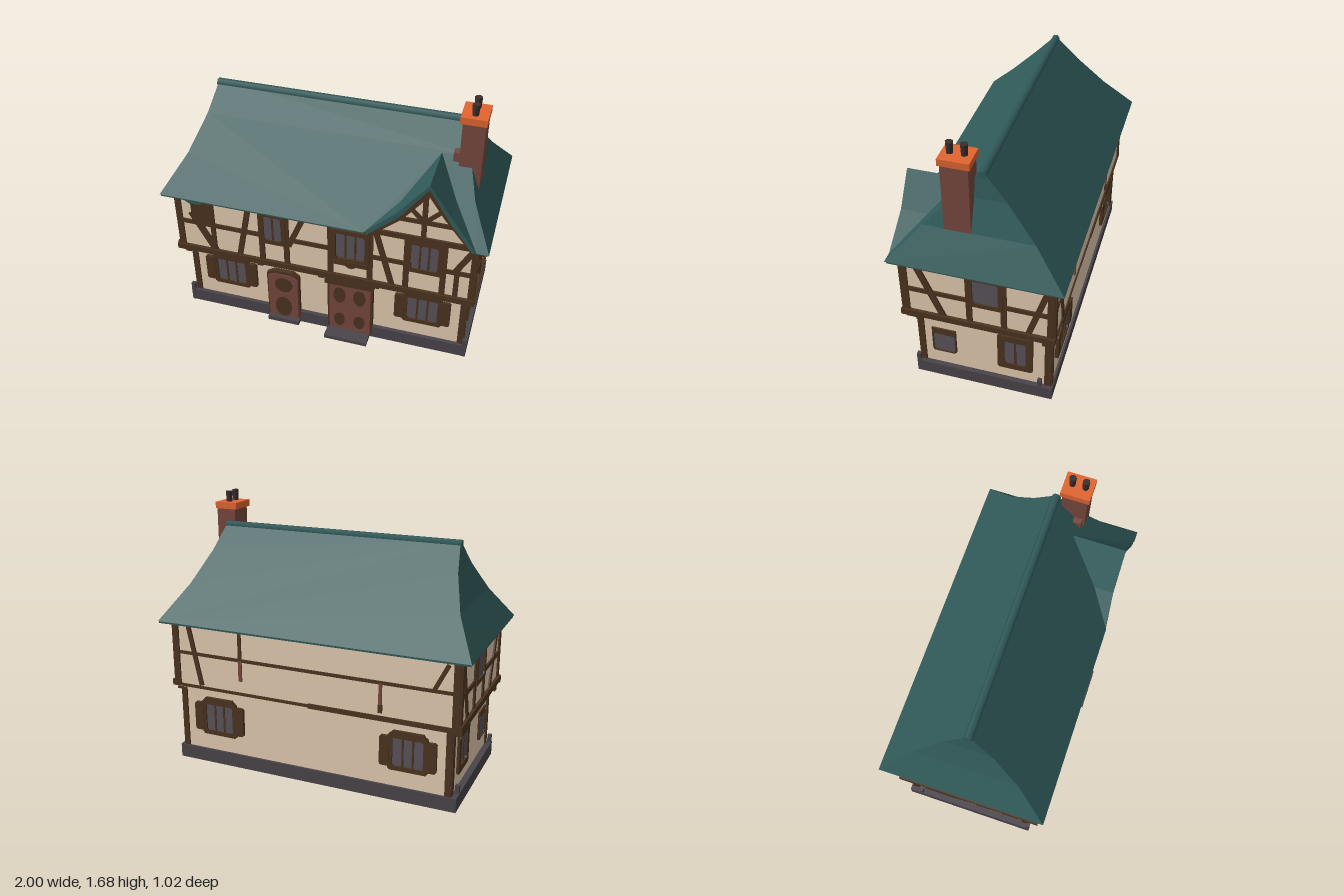
import * as THREE from 'three';

const mat = (name, color, extra = {}) => Object.assign(new THREE.MeshStandardMaterial({ color, ...extra }), { name });

export function createModel() {
  const M = {
    plaster: mat('plaster', 0xe4ccb0),
    timber: mat('timber', 0x4c3420),
    roof: mat('roofTeal', 0x305a59, { side: THREE.DoubleSide }),
    stone: mat('plinthStone', 0x49444a),
    glass: mat('windowGlass', 0x5a545b),
    door: mat('doorRed', 0x78483e),
    cap: mat('chimneyCap', 0xe0652f),
    pot: mat('chimneyPot', 0x3a2f2d),
  };
  const model = new THREE.Group();
  model.name = 'timberHouse';

  const add = (parent, name, geo, material) => {
    const m = new THREE.Mesh(geo, material);
    m.name = name;
    parent.add(m);
    return m;
  };
  // Box given by its limits on each axis
  const box = (parent, name, material, x0, x1, y0, y1, z0, z1) => {
    const m = add(parent, name, new THREE.BoxGeometry(x1 - x0, y1 - y0, z1 - z0), material);
    m.position.set((x0 + x1) / 2, (y0 + y1) / 2, (z0 + z1) / 2);
    return m;
  };
  const shapeOf = (pts) => new THREE.Shape(pts.map((p) => new THREE.Vector2(...p)));
  const slab = (parent, name, material, pts, z0, z1, hole) => {
    const s = shapeOf(pts);
    if (hole) s.holes.push(shapeOf(hole));
    const g = new THREE.ExtrudeGeometry(s, { depth: z1 - z0, bevelEnabled: false });
    return add(parent, name, g.translate(0, 0, z0), material);
  };
  // Timber lying on a wall between two points
  const beam = (parent, u0, y0, u1, y1, w = 0.04, d = 0.01, material = M.timber) => {
    const len = Math.hypot(u1 - u0, y1 - y0);
    const m = add(parent, 'timber', new THREE.BoxGeometry(len, w, d + 0.01), material);
    m.position.set((u0 + u1) / 2, (y0 + y1) / 2, (d - 0.01) / 2);
    m.rotation.z = Math.atan2(y1 - y0, u1 - u0);
  };
  const beams = (parent, list) => list.forEach((b) => beam(parent, ...b));
  // Group whose local z points out of a wall
  const face = (name, x, z, turn) => {
    const g = new THREE.Group();
    g.name = name;
    g.position.set(x, 0, z);
    g.rotation.y = turn;
    model.add(g);
    return g;
  };
  const cut = (u0, u1, y0, y1, c) => [[u0 + c, y0], [u1 - c, y0], [u1, y0 + c], [u1, y1 - c],
    [u1 - c, y1], [u0 + c, y1], [u0, y1 - c], [u0, y0 + c]];
  const windowAt = (parent, u, y, w, h, { rim = 0.028, shutters = false, head = shutters, bars = 1, depth = 0.016 } = {}) => {
    const g = new THREE.Group();
    g.name = 'window';
    g.position.set(u, y, 0);
    parent.add(g);
    const a = w / 2, b = h / 2;
    slab(g, 'windowFrame', M.timber, cut(-a - rim, a + rim, -b - rim, b + rim, 0.012), -0.01, depth,
      cut(-a, a, -b, b, 0.01));
    box(g, 'windowPane', M.glass, -a, a, -b, b, -0.002, 0.007);
    for (let i = 1; i <= bars; i++) {
      const x = -a + (w * i) / (bars + 1);
      box(g, 'windowBar', M.timber, x - 0.006, x + 0.006, -b, b, 0, 0.011);
    }
    if (shutters) {
      for (const s of [-1, 1]) {
        const x0 = s * (a + rim - 0.01), x1 = s * (a + rim + 0.052);
        slab(g, 'shutter', M.timber, cut(Math.min(x0, x1), Math.max(x0, x1), -b - 0.005, b + 0.005, 0.01), -0.01, 0.02);
      }
    }
    if (head) slab(g, 'windowHead', M.timber, [[-a - rim, b], [a + rim, b], [a, b + 0.045], [-a, b + 0.045]], -0.01, 0.02);
  };

  // Storeys and plinth
  box(model, 'plinth', M.stone, -0.93, 0.93, 0, 0.088, -0.44, 0.41);
  box(model, 'lowerWalls', M.plaster, -0.89, 0.9, 0.08, 0.53, -0.425, 0.385);
  box(model, 'upperWalls', M.plaster, -0.93, 0.935, 0.5, 0.935, -0.445, 0.45);
  box(model, 'doorStep', M.stone, 0.03, 0.31, 0, 0.025, 0.38, 0.505);
  box(model, 'smallStep', M.stone, -0.37, -0.16, 0, 0.03, 0.38, 0.45);
  for (const x of [-0.915, 0.915]) for (const z of [0.4, -0.36])
    box(model, 'cornerGuard', M.stone, x - 0.012, x + 0.012, 0, 0.14, z - 0.012, z + 0.012);

  // Upper front timbers
  const upF = face('upperFront', 0, 0.45, 0);
  beams(upF, [
    [-0.95, 0.515, 0.95, 0.515, 0.04, 0.02], [-0.94, 0.92, 0.94, 0.92, 0.03],
    [-0.93, 0.725, -0.36, 0.725, 0.03], [-0.22, 0.725, 0.08, 0.725, 0.03], [0.29, 0.72, 0.56, 0.72, 0.03], [0.72, 0.72, 0.94, 0.72, 0.03],
    [-0.915, 0.51, -0.915, 0.93], [0.925, 0.51, 0.925, 0.93], [-0.76, 0.72, -0.76, 0.93, 0.14],
    [-0.83, 0.8, -0.69, 0.53, 0.045], [-0.695, 0.51, -0.695, 0.93, 0.03], [-0.45, 0.92, -0.53, 0.52, 0.035],
    [-0.375, 0.51, -0.375, 0.93, 0.035], [-0.215, 0.51, -0.215, 0.93, 0.035], [-0.1, 0.92, -0.2, 0.68, 0.035],
    [0.065, 0.51, 0.065, 0.93, 0.035], [0.31, 0.51, 0.31, 0.93, 0.035], [0.34, 0.92, 0.45, 0.52, 0.035],
    [0.53, 0.51, 0.53, 0.93, 0.035], [0.75, 0.51, 0.75, 0.93, 0.035], [0.83, 0.51, 0.83, 0.72, 0.03], [0.91, 0.9, 0.82, 0.73, 0.035],
    [0.08, 0.645, 0.3, 0.645, 0.03, 0.03], [0.13, 0.64, 0.19, 0.6, 0.02], [0.25, 0.64, 0.19, 0.6, 0.02],
  ]);
  // Torn piece of roof hanging below the eaves
  slab(upF, 'roofScrap', M.roof, [[-0.92, 0.93], [-0.83, 0.875], [-0.76, 0.88], [-0.73, 0.93]], 0.005, 0.018);
  windowAt(upF, -0.3, 0.79, 0.11, 0.18);
  windowAt(upF, 0.19, 0.77, 0.18, 0.19, { bars: 2, depth: 0.025 });
  windowAt(upF, 0.635, 0.79, 0.16, 0.18, { bars: 2 });

  // Lower front: posts, windows and doors
  const loF = face('lowerFront', 0, 0.385, 0);
  beams(loF, [[-0.875, 0.09, -0.875, 0.5, 0.035], [0.885, 0.09, 0.885, 0.5, 0.035]]);
  for (const u of [-0.625, 0.635]) windowAt(loF, u, 0.315, 0.19, 0.18, { shutters: true, bars: 2 });
  const oval = (x, y, rx, ry) => {
    const m = add(loF, 'doorPanel', new THREE.CylinderGeometry(1, 1, 0.006, 14).rotateX(Math.PI / 2), M.timber);
    m.scale.set(rx, ry, 1);
    m.position.set(x, y, 0.034);
  };
  slab(loF, 'smallDoorFrame', M.timber, [[-0.375, 0.02], [-0.16, 0.02], [-0.16, 0.38], [-0.2, 0.41], [-0.33, 0.41], [-0.375, 0.38]], -0.01, 0.028);
  slab(loF, 'smallDoor', M.door, [[-0.366, 0.02], [-0.169, 0.02], [-0.169, 0.365], [-0.21, 0.388], [-0.33, 0.388], [-0.366, 0.365]], 0, 0.034);
  oval(-0.262, 0.305, 0.06, 0.06);
  oval(-0.268, 0.115, 0.056, 0.085);
  box(loF, 'doorFrame', M.timber, 0.03, 0.325, 0.02, 0.46, -0.01, 0.028);
  box(loF, 'doorLintel', M.timber, 0.02, 0.335, 0.425, 0.47, 0, 0.06);
  box(loF, 'door', M.door, 0.044, 0.311, 0.02, 0.425, 0, 0.034);
  for (const x of [0.11, 0.24]) {
    oval(x, 0.32, 0.04, 0.065);
    oval(x, 0.11, 0.036, 0.055);
  }
  for (const x of [-0.89, -0.4, 0.0, 0.35, 0.91])
    box(model, 'jettyBracket', M.timber, x - 0.018, x + 0.018, 0.465, 0.5, 0.38, 0.45);

  // Both ends, mirrored
  for (const s of [1, -1]) {
    const up = face('upperEnd', s > 0 ? 0.935 : -0.93, 0, (s * Math.PI) / 2);
    const lo = face('lowerEnd', s > 0 ? 0.9 : -0.89, 0, (s * Math.PI) / 2);
    const line = (p, z0, y0, z1, y1, w, d) => beam(p, -s * z0, y0, -s * z1, y1, w, d);
    [
      [0.46, 0.525, -0.455, 0.525, 0.04, 0.02], [0.45, 0.92, -0.445, 0.92, 0.03],
      [0.45, 0.71, 0.04, 0.71, 0.03], [-0.15, 0.71, -0.44, 0.71, 0.03],
      [0.432, 0.51, 0.432, 0.93], [-0.427, 0.51, -0.427, 0.93], [0.36, 0.91, 0.21, 0.54, 0.04],
      [0.05, 0.53, 0.05, 0.93, 0.035], [-0.155, 0.53, -0.155, 0.93, 0.035], [-0.41, 0.9, -0.3, 0.55, 0.035],
    ].forEach((b) => line(up, ...b));
    windowAt(up, s * 0.05, 0.79, 0.15, 0.17, { bars: 0 });
    line(lo, 0.37, 0.09, 0.37, 0.52, 0.035);
    line(lo, -0.408, 0.09, -0.408, 0.52, 0.04);
    windowAt(lo, -s * 0.23, 0.275, 0.13, 0.14, { rim: 0.01, bars: 0, depth: 0.012 });
    line(lo, 0.305, 0.362, 0.155, 0.362, 0.045);
    windowAt(lo, s * 0.21, 0.315, 0.13, 0.19, { rim: 0.042, head: true });
    for (const z of [0.36, -0.4])
      box(model, 'endBracket', M.timber, s * 0.915 - 0.03, s * 0.915 + 0.03, 0.47, 0.51, z - 0.02, z + 0.02);
  }

  // Back: sparse thin timbers, some of them worn red
  const upB = face('upperBack', 0, -0.445, Math.PI);
  beams(upB, [
    [-0.95, 0.515, 0, 0.515, 0.018, 0.008], [0, 0.515, 0.95, 0.515, 0.03, 0.01],
    [-0.93, 0.735, 0.93, 0.735, 0.02, 0.008], [-0.94, 0.925, 0.94, 0.925, 0.02],
    [-0.915, 0.51, -0.915, 0.93], [0.91, 0.51, 0.91, 0.93], [-0.46, 0.73, -0.46, 0.93, 0.022, 0.008],
    [-0.46, 0.6, -0.46, 0.735, 0.022, 0.01, M.door], [0.46, 0.6, 0.46, 0.735, 0.02, 0.01, M.door],
    [0.46, 0.55, 0.46, 0.6, 0.025, 0.01], [-0.82, 0.91, -0.74, 0.53, 0.03], [0.86, 0.9, 0.78, 0.74, 0.025],
  ]);
  const loB = face('lowerBack', 0, -0.425, Math.PI);
  beams(loB, [[-0.885, 0.09, -0.885, 0.5, 0.035], [0.875, 0.09, 0.875, 0.5, 0.035]]);
  for (const u of [-0.63, 0.63]) windowAt(loB, u, 0.315, 0.19, 0.18, { shutters: true, bars: 2 });

  // Main roof: slopes follow z = slope(y); the front one is notched for the gable
  const slope = (y) => (0.51 * (1.5 - y)) / 0.56;
  const gable = [[0.28, 0.94], [0.46, 1.1], [0.64, 1.33], [0.77, 1.14], [0.93, 0.94]];
  const hip = [[1, 0.94], [0.873, 1.15], [0.802, 1.34], [0.77, 1.5]];
  const leftHip = hip.map(([x, y]) => [-x, y]).reverse();
  const roofSide = (name, pts, sign) => {
    const g = new THREE.ShapeGeometry(shapeOf(pts));
    const p = g.attributes.position;
    for (let i = 0; i < p.count; i++) p.setZ(i, sign * slope(p.getY(i)));
    g.computeVertexNormals();
    add(model, name, g, M.roof);
  };
  roofSide('frontSlope', [...gable, ...hip, ...leftHip], 1);
  roofSide('backSlope', [...hip, ...leftHip], -1);
  // Strip of flat quads between two rows of points
  const strip = (name, a, b) => {
    const v = [];
    for (let i = 0; i + 1 < a.length; i++) v.push(...a[i], ...b[i], ...b[i + 1], ...a[i], ...b[i + 1], ...a[i + 1]);
    const g = new THREE.BufferGeometry();
    g.setAttribute('position', new THREE.Float32BufferAttribute(v, 3));
    g.computeVertexNormals();
    add(model, name, g, M.roof);
  };
  for (const s of [1, -1])
    strip('hipEnd', hip.map(([x, y]) => [s * x, y, s * slope(y)]), hip.map(([x, y]) => [s * x, y, -s * slope(y)]));
  const verge = gable.map(([x, y]) => [x, y, y < 1 ? 0.505 : 0.485]);
  strip('gableRoof', verge, gable.map(([x, y]) => [x, y, slope(y)]));
  strip('gableVerge', gable.map(([x, y], i) => [x + 0.012 * (2 - i), y - (y < 1 ? 0.01 : 0.03), verge[i][2]]), verge);
  const eaves = slab(model, 'eaves', M.roof, [[-0.995, -0.505], [0.28, -0.505], [0.34, -0.455], [0.9, -0.455], [0.93, -0.5],
    [0.995, -0.5], [0.995, 0.505], [-0.995, 0.505]], 0, 0.015);
  eaves.rotation.x = -Math.PI / 2;
  eaves.position.y = 0.927;
  const ridge = add(model, 'ridgeCap', new THREE.CylinderGeometry(0.026, 0.026, 1.56, 6).rotateZ(Math.PI / 2), M.roof);
  ridge.position.y = 1.478;

  // Front gable wall with its timbers
  slab(model, 'gableWall', M.plaster, [[0.36, 0.93], [0.92, 0.93], [0.64, 1.28]], 0.4, 0.452);
  const gab = face('gableTimbers', 0, 0.452, 0);
  beams(gab, [
    [0.34, 0.945, 0.49, 1.075, 0.035, 0.02], [0.475, 1.06, 0.645, 1.28, 0.035, 0.02],
    [0.635, 1.28, 0.755, 1.105, 0.035, 0.02], [0.745, 1.12, 0.9, 0.925, 0.035, 0.02],
    [0.34, 0.925, 0.91, 0.925, 0.035, 0.014], [0.62, 0.94, 0.62, 1.26, 0.03], [0.48, 1.05, 0.79, 1.05, 0.028],
    [0.62, 1.05, 0.54, 1.13, 0.025], [0.63, 1.06, 0.71, 1.14, 0.025],
  ]);

  // Chimney
  box(model, 'chimneyStack', M.door, 0.745, 0.874, 1.12, 1.58, 0.04, 0.195);
  box(model, 'chimneyFoot', M.door, 0.71, 0.75, 1.26, 1.36, 0.11, 0.18);
  box(model, 'chimneyCap', M.cap, 0.73, 0.88, 1.57, 1.612, 0.03, 0.207);
  for (const z of [0.08, 0.16]) {
    const pot = add(model, 'chimneyPot', new THREE.CylinderGeometry(0.022, 0.018, 0.08, 8), M.pot);
    pot.position.set(0.805, 1.64, z);
  }
  return model;
}
